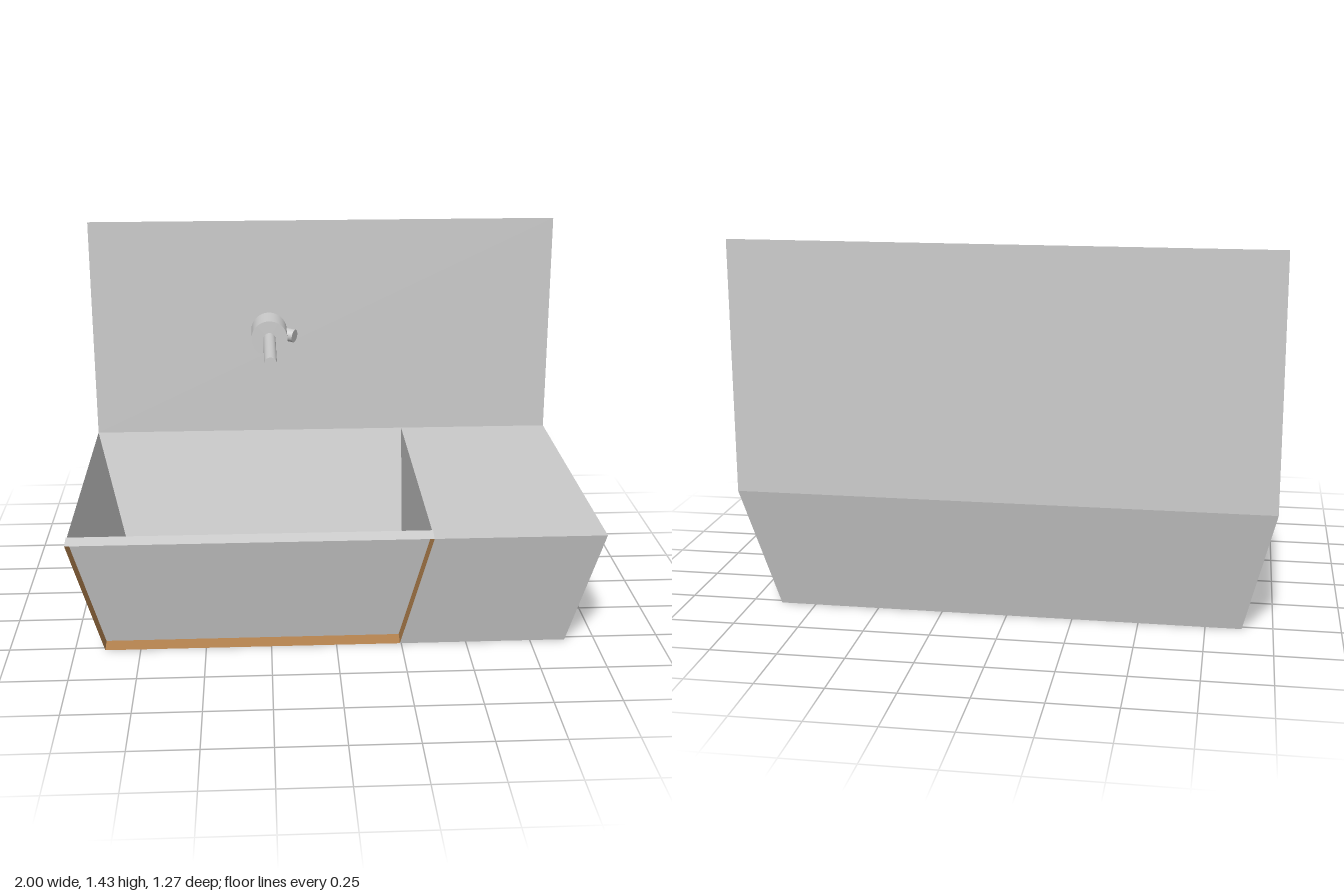
import * as THREE from 'three';

const grey = new THREE.MeshStandardMaterial({ color: 0xcccccc });
const sheet = new THREE.MeshStandardMaterial({ color: 0xcccccc, side: THREE.DoubleSide });
const wood = new THREE.MeshStandardMaterial({ color: 0xb07f4c, side: THREE.DoubleSide });

// Thin four-cornered sheet, corners in counter-clockwise order
function quad(name, a, b, c, d, material = sheet) {
  const geometry = new THREE.BufferGeometry();
  geometry.setAttribute('position', new THREE.Float32BufferAttribute([a, b, c, a, c, d].flat(), 3));
  geometry.computeVertexNormals();
  const mesh = new THREE.Mesh(geometry, material);
  mesh.name = name;
  return mesh;
}

// Solid round bar between two points
function bar(name, from, to, radius, sides = 32) {
  const a = new THREE.Vector3(...from), b = new THREE.Vector3(...to);
  const dir = b.clone().sub(a);
  const mesh = new THREE.Mesh(new THREE.CylinderGeometry(radius, radius, dir.length(), sides), grey);
  mesh.position.copy(a).add(b).multiplyScalar(0.5);
  mesh.quaternion.setFromUnitVectors(new THREE.Vector3(0, 1, 0), dir.normalize());
  mesh.name = name;
  return mesh;
}

export function createModel() {
  const model = new THREE.Group();
  model.name = 'washbasin';

  const H = 0.483, TX = 1, TZ = 0.633, BX = 0.885, BZ = 0.52; // rim and base half sizes
  const ST = 0.355, SB = 0.245;                               // basin end at rim and base
  const top = (x, z) => [x, H, z];
  const low = (x, z) => [x, 0, z];

  // Tapered shell, open above the basin
  const shell = new THREE.Group();
  shell.name = 'shell';
  shell.add(
    quad('floor', low(-BX, -BZ), low(BX, -BZ), low(BX, BZ), low(-BX, BZ)),
    quad('backWall', low(BX, -BZ), low(-BX, -BZ), top(-TX, -TZ), top(TX, -TZ)),
    quad('rightWall', low(-BX, -BZ), low(-BX, BZ), top(-TX, TZ), top(-TX, -TZ)),
    quad('leftWall', low(BX, BZ), low(BX, -BZ), top(TX, -TZ), top(TX, TZ)),
    quad('counterFront', low(SB, BZ), low(BX, BZ), top(TX, TZ), top(ST, TZ)),
    quad('counterTop', top(ST, TZ), top(TX, TZ), top(TX, -TZ), top(ST, -TZ)),
    quad('counterInnerWall', low(ST, -BZ), low(ST, BZ), top(ST, TZ), top(ST, -TZ)),
  );
  model.add(shell);

  // Recessed front panel with a wooden reveal
  const inset = ([x, y, z]) => [x, y + 0.0125, z - 0.053];
  const [a, b, c, d] = [low(-BX, BZ), low(SB, BZ), top(ST, TZ), top(-TX, TZ)];
  const front = new THREE.Group();
  front.name = 'frontPanel';
  front.add(
    quad('panel', inset(a), inset(b), inset(c), inset(d)),
    quad('rim', d, c, inset(c), inset(d)),
    quad('sill', a, b, inset(b), inset(a), wood),
    quad('rightReveal', a, inset(a), inset(d), d, wood),
    quad('leftReveal', b, c, inset(c), inset(b), wood),
  );
  model.add(front);

  // Splashback rising from the rear rim
  model.add(quad('splashback', top(-TX, -TZ), top(TX, -TZ), [TX, 1.43, -TZ], [-TX, 1.43, -TZ]));

  // Wall tap
  const x = -0.234, y = 0.959;
  const tap = new THREE.Group();
  tap.name = 'tap';
  tap.add(
    bar('tapBody', [x, y, -0.589], [x, y, -0.438], 0.077, 48),
    bar('spout', [x, y, -0.45], [x, y, -0.064], 0.026),
    bar('nozzle', [x, 0.955, -0.125], [x, 0.921, -0.158], 0.014, 20),
    bar('handle', [-0.21, 0.955, -0.568], [-0.125, 0.947, -0.524], 0.028),
  );
  model.add(tap);

  return model;
}
